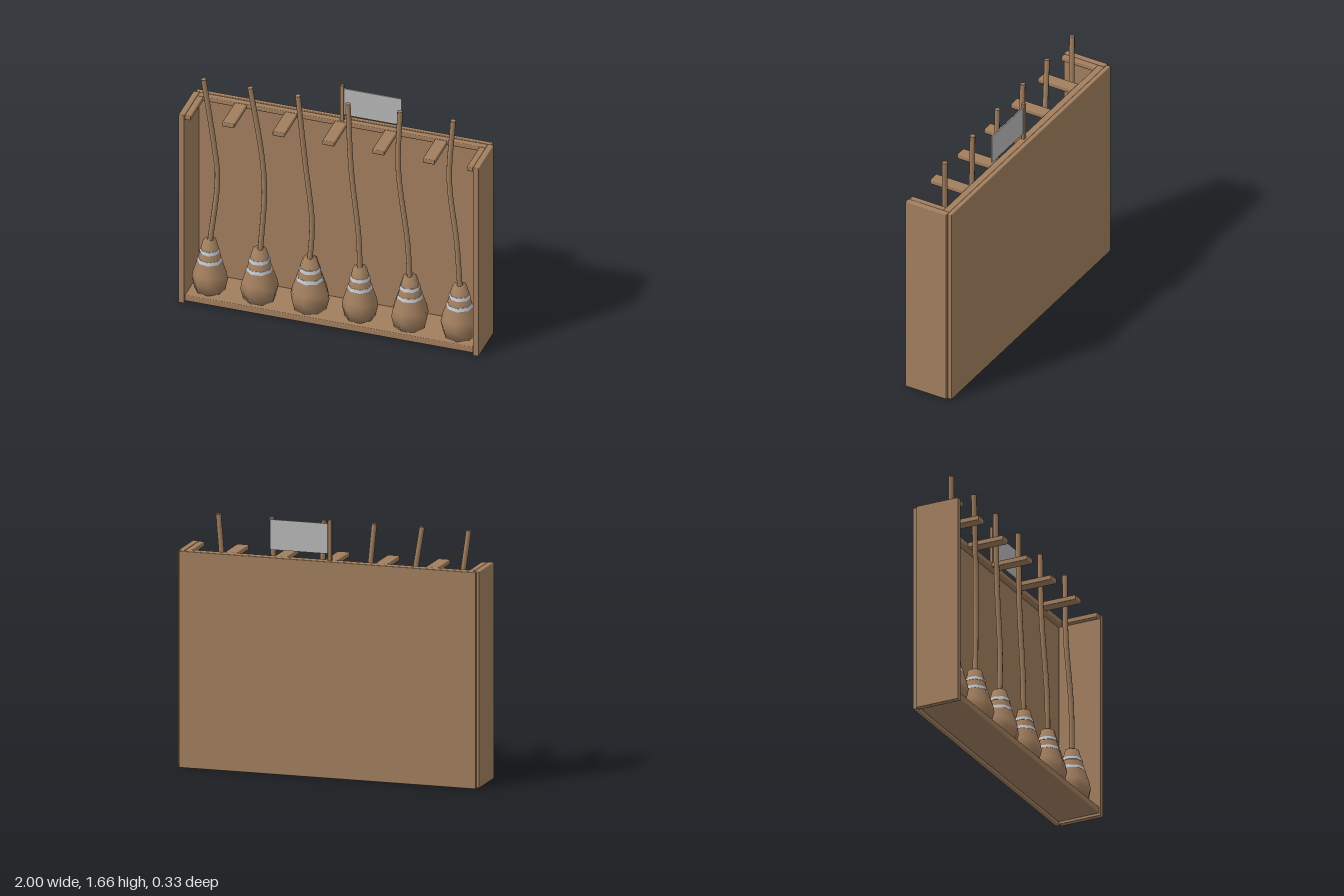
import * as THREE from 'three';
import { RoundedBoxGeometry } from 'three/addons/geometries/RoundedBoxGeometry.js';

export function createModel() {
  const root = new THREE.Group();
  root.name = 'broomRack';
  const material = (name, color) => {
    const m = new THREE.MeshStandardMaterial({ color });
    m.name = name;
    return m;
  };
  const wood = material('wood', 0xa27f5f);
  const binding = material('binding', 0xc2c6cc);
  const plate = material('signGrey', 0xb8b8b8);

  const add = (parent, name, geometry, mat) => {
    const mesh = new THREE.Mesh(geometry, mat);
    mesh.name = name;
    parent.add(mesh);
    return mesh;
  };
  // Softly bevelled board given by its extents
  const board = (name, x0, x1, y0, y1, z0, z1, r = 0.006) => {
    const g = new RoundedBoxGeometry(x1 - x0, y1 - y0, z1 - z0, 1, r);
    add(root, name, g, wood).position.set((x0 + x1) / 2, (y0 + y1) / 2, (z0 + z1) / 2);
  };

  // Cabinet
  board('backPanel', -0.985, 0.985, 0, 1.4, -0.165, -0.134);
  for (const s of [-1, 1]) {
    const a = s * 0.96, b = s;
    board(s > 0 ? 'leftSide' : 'rightSide', Math.min(a, b), Math.max(a, b), 0, 1.4, -0.134, 0.165);
  }
  board('bottomShelf', -0.96, 0.96, 0.015, 0.06, -0.134, 0.157);
  board('topRail', -0.96, 0.96, 1.365, 1.398, -0.134, -0.088);

  // Fingers that separate the handles
  for (const x of [-0.67, -0.335, -0.003, 0.33, 0.665]) {
    board('divider', x - 0.04, x + 0.04, 1.365, 1.398, -0.09, 0.16);
  }
  board('endDivider', -0.96, -0.92, 1.365, 1.398, -0.09, 0.16);
  board('endDivider', 0.92, 0.96, 1.365, 1.398, -0.09, 0.16);

  // Sign on a post
  board('signPost', -0.014, 0.011, 1.38, 1.66, -0.12, -0.098, 0.003);
  add(root, 'signPlate', new THREE.BoxGeometry(0.39, 0.195, 0.008), plate)
    .position.set(0.2, 1.538, -0.109);

  // Broom: head x, head scale, then handle points [x, y, z]
  const brooms = [
    [-0.835, 0.97, [[-0.835, 0.4, 0.03], [-0.79, 0.88, 0.012], [-0.81, 1.12, 0.02], [-0.87, 1.62, 0.05]]],
    [-0.505, 1.03, [[-0.5, 0.4, 0.03], [-0.475, 0.85, 0.02], [-0.49, 1.12, 0.028], [-0.56, 1.62, 0.05]]],
    [-0.168, 1.08, [[-0.17, 0.4, 0.03], [-0.155, 0.68, 0.028], [-0.2, 1.12, 0.03], [-0.245, 1.62, 0.042]]],
    [0.165, 0.97, [[0.165, 0.4, 0.03], [0.155, 0.66, 0.03], [0.107, 1.12, 0.03], [0.085, 1.62, 0.032]]],
    [0.497, 1.03, [[0.495, 0.4, 0.03], [0.483, 0.66, 0.032], [0.418, 1.2, 0.025], [0.425, 1.62, 0.012]]],
    [0.83, 1.05, [[0.83, 0.4, 0.03], [0.81, 0.74, 0.034], [0.757, 1.18, 0.024], [0.777, 1.62, 0.007]]],
  ];
  const headProfile = [[0, 0.06], [0.1, 0.06], [0.119, 0.14], [0.11, 0.19], [0.077, 0.29], [0.044, 0.42], [0, 0.42]]
    .map(([r, y]) => new THREE.Vector2(r, y));

  brooms.forEach(([x, scale, points], i) => {
    const broom = new THREE.Group();
    broom.name = 'broom' + (i + 1);
    root.add(broom);

    // Head with two bindings
    const head = new THREE.Group();
    head.name = 'broomHead';
    head.position.set(x, 0, 0.03);
    head.rotation.y = 0.2 + i * 0.3;
    head.scale.set(scale, 1, scale);
    broom.add(head);
    add(head, 'bristles', new THREE.LatheGeometry(headProfile, 8), wood);
    for (const [y, r] of [[0.282, 0.082], [0.348, 0.066]]) {
      add(head, 'bindingRing', new THREE.CylinderGeometry(r - 0.004, r + 0.003, 0.022, 8), binding).position.y = y;
    }

    // Bent handle with a flat end
    const path = new THREE.CatmullRomCurve3(points.map(p => new THREE.Vector3(...p)));
    add(broom, 'handle', new THREE.TubeGeometry(path, 14, 0.018, 8), wood);
    const cap = add(broom, 'handleEnd', new THREE.CircleGeometry(0.018, 8), wood);
    cap.position.copy(path.getPoint(1));
    cap.quaternion.setFromUnitVectors(new THREE.Vector3(0, 0, 1), path.getTangent(1));
  });
  return root;
}
